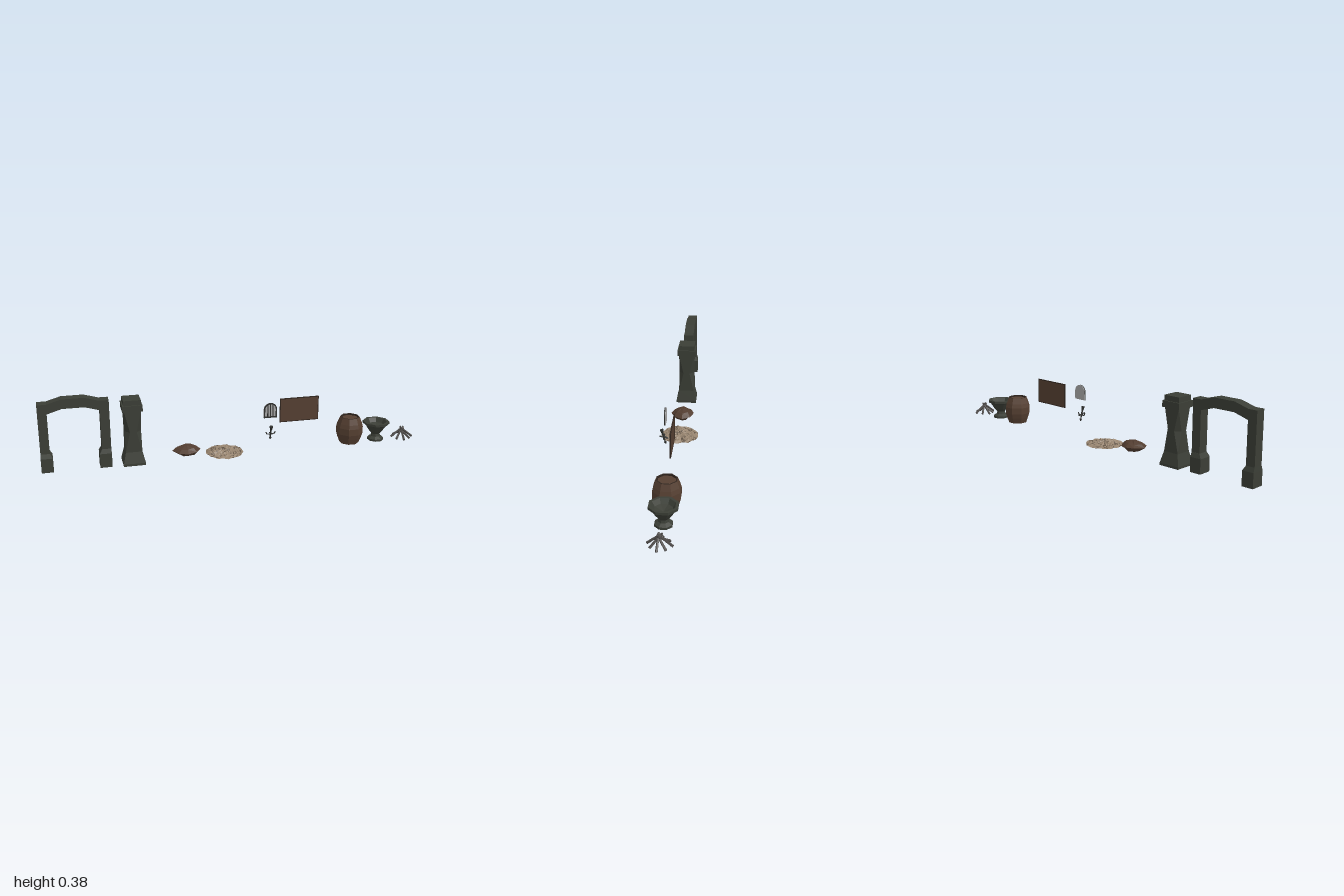
import * as THREE from 'three';

const mat = (name, color, opts = {}) => {
  const m = new THREE.MeshStandardMaterial({ color, flatShading: true, ...opts });
  m.name = name;
  return m;
};

// Small seeded random generator
function seeded(seed) {
  return () => (seed = (seed * 16807) % 2147483647) / 2147483647;
}

// Closed skin through rings of [x, y, z] points, listed bottom to top, turning from +x to +z
function loft(rings) {
  const n = rings[0].length, pos = rings.flat(2), idx = [];
  for (let i = 0; i < rings.length - 1; i++) {
    for (let k = 0; k < n; k++) {
      const a = i * n + k, b = i * n + (k + 1) % n;
      idx.push(a, a + n, b + n, a, b + n, b);
    }
  }
  const last = (rings.length - 1) * n;
  for (let k = 1; k < n - 1; k++) idx.push(0, k, k + 1, last, last + k + 1, last + k);
  const g = new THREE.BufferGeometry();
  g.setAttribute('position', new THREE.Float32BufferAttribute(pos, 3));
  g.setIndex(idx);
  g.computeVertexNormals();
  return g;
}

// Square ring of half size s with corners cut by c
const squareRing = (y, s, c) => [
  [s, y, -(s - c)], [s, y, s - c], [s - c, y, s], [-(s - c), y, s],
  [-s, y, s - c], [-s, y, -(s - c)], [-(s - c), y, -s], [s - c, y, -s],
];
const rectRing = (y, x0, x1, z) => [[x1, y, -z], [x1, y, z], [x0, y, z], [x0, y, -z]];

export function createModel() {
  const root = new THREE.Group();
  root.name = 'dungeonProps';
  const stone = mat('darkStone', 0x3b3e36);
  const iron = mat('darkIron', 0x2f302e);
  const wood = mat('brownWood', 0x553f31);
  const darkWood = mat('darkWood', 0x30251e);
  const rockMat = mat('brownRock', 0x523d30);
  const straw = mat('tanStraw', 0x988570, { side: THREE.DoubleSide });
  const strawDark = mat('darkStraw', 0x66584a, { side: THREE.DoubleSide });
  const greyWood = mat('greyWood', 0x4d4a48);
  const pane = mat('palePane', 0xa6a6a6);

  const group = (name, x = 0, y = 0, z = 0) => {
    const g = new THREE.Group();
    g.name = name;
    g.position.set(x, y, z);
    root.add(g);
    return g;
  };
  const add = (parent, name, geo, material, x = 0, y = 0, z = 0) => {
    const m = new THREE.Mesh(geo, material);
    m.name = name;
    m.position.set(x, y, z);
    parent.add(m);
    return m;
  };
  const rod = (parent, name, a, b, r0, r1, material, sides = 6) => {
    const p = new THREE.Vector3(...a), q = new THREE.Vector3(...b), d = q.clone().sub(p);
    const m = add(parent, name, new THREE.CylinderGeometry(r1, r0, d.length(), sides), material);
    m.position.copy(p).add(q).multiplyScalar(0.5);
    m.quaternion.setFromUnitVectors(new THREE.Vector3(0, 1, 0), d.normalize());
  };
  const lathe = (pts) =>
    new THREE.LatheGeometry(pts.map(([x, y]) => new THREE.Vector2(x, y)), 8, Math.PI / 8);

  // Doorway arch: one bent frame on two wider feet
  const arch = group('archway', -0.826);
  const outline = new THREE.Shape([
    [-0.174, 0.006], [-0.128, 0.006], [-0.128, 0.31], [-0.055, 0.332], [0.055, 0.332], [0.128, 0.31],
    [0.128, 0.006], [0.174, 0.006], [0.174, 0.36], [0.128, 0.36], [0.055, 0.381], [-0.055, 0.381],
    [-0.128, 0.36], [-0.174, 0.36],
  ].map(([x, y]) => new THREE.Vector2(x, y)));
  add(arch, 'archFrame', new THREE.ExtrudeGeometry(outline, { depth: 0.053, bevelEnabled: false }),
    stone, 0, 0, -0.0265);
  const foot = loft([
    rectRing(0.006, -0.175, -0.115, 0.035), rectRing(0.08, -0.175, -0.115, 0.035),
    rectRing(0.103, -0.174, -0.128, 0.027),
  ]);
  add(arch, 'archFoot', foot, stone);
  add(arch, 'archFoot', foot, stone).rotation.y = Math.PI;

  // Square pillar with corner facets and a stepped cap
  const pillar = group('pillar', -0.54);
  add(pillar, 'pillarShaft', loft([
    squareRing(0.008, 0.056, 0), squareRing(0.02, 0.056, 0), squareRing(0.078, 0.042, 0),
    squareRing(0.185, 0.042, 0.025), squareRing(0.296, 0.042, 0),
  ]), stone);
  add(pillar, 'pillarCap', new THREE.BoxGeometry(0.102, 0.032, 0.102), stone, 0, 0.311, 0);
  add(pillar, 'pillarTop', new THREE.BoxGeometry(0.088, 0.026, 0.088), stone, 0, 0.34, 0);

  // Lumpy rock
  const reach = [0.075, 0.066, 0.065, 0.066, 0.075, 0.062, 0.06, 0.06];
  const rnd = seeded(17);
  const rockRing = (y, s) => reach.map((r, k) => {
    const a = (k / 8) * Math.PI * 2, w = s * r * (s < 1 ? 0.9 + 0.2 * rnd() : 1);
    return [w * Math.cos(a), y + (rnd() - 0.5) * 0.008, w * Math.sin(a)];
  });
  add(group('rock', -0.265), 'rockBody', loft([
    rockRing(0.02, 0.4), rockRing(0.031, 0.72), rockRing(0.047, 1), rockRing(0.065, 0.7), rockRing(0.076, 0.2),
  ]), rockMat);

  // Round straw heap: a rough disc, with darker clumps
  const heap = new THREE.RingGeometry(0.0005, 0.098, 36, 9).rotateX(-Math.PI / 2);
  const hp = heap.attributes.position;
  for (let i = 0; i < hp.count; i++) {
    const x = hp.getX(i), z = hp.getZ(i), r = Math.hypot(x, z) / 0.098, a = Math.atan2(z, x);
    const wave = Math.sin(x * 190 + z * 70) * Math.sin(z * 170 - x * 50);
    const s = 1 + 0.025 * Math.sin(a * 9) * r;
    hp.setXYZ(i, x * s, 0.012 + 0.02 * (1 - r) + 0.005 * (1 + wave) + 0.002 * Math.sin(a * 14), z * s);
  }
  const heapFaces = heap.toNonIndexed(), fp = heapFaces.attributes.position;
  for (let i = 0; i < fp.count; i += 3) {
    const x = (fp.getX(i) + fp.getX(i + 1) + fp.getX(i + 2)) / 3;
    const z = (fp.getZ(i) + fp.getZ(i + 1) + fp.getZ(i + 2)) / 3;
    const clump = Math.sin(x * 230 + 2 * Math.sin(z * 120)) * Math.sin(z * 210 + 2 * Math.sin(x * 140));
    heapFaces.addGroup(i, 3, clump > 0.5 ? 1 : 0);
  }
  heapFaces.computeVertexNormals();
  add(group('strawHeap', -0.064), 'strawHeapTop', heapFaces, [straw, strawDark]);

  // Small arched window with bars in front of a pale pane
  const windowGroup = group('archedWindow', 0.169, 0.206, 0.048);
  const archPath = (Path, w, y0, y1) => {
    const p = new Path();
    p.moveTo(-w, y0);
    p.lineTo(w, y0);
    p.lineTo(w, y1);
    p.absarc(0, y1, w, 0, Math.PI, false);
    p.lineTo(-w, y0);
    return p;
  };
  const extrude = (shape, depth) =>
    new THREE.ExtrudeGeometry(shape, { depth, bevelEnabled: false, curveSegments: 8 });
  add(windowGroup, 'windowPane', extrude(archPath(THREE.Shape, 0.035, 0, 0.044), 0.003), pane);
  const frame = archPath(THREE.Shape, 0.035, 0, 0.044);
  frame.holes.push(archPath(THREE.Path, 0.029, 0.006, 0.044));
  add(windowGroup, 'windowFrame', extrude(frame, 0.006), iron, 0, 0, 0.003);
  for (const x of [-0.014, 0, 0.014]) {
    const h = 0.07 - Math.abs(x) * 0.3;
    add(windowGroup, 'windowBar', new THREE.BoxGeometry(0.005, h, 0.004), iron, x, 0.003 + h / 2, 0.005);
  }

  // Wall torch on a forked bracket
  const torch = group('wallTorch', 0.169);
  rod(torch, 'torchHandle', [0, 0.087, 0.052], [0, 0.15, 0.069], 0.003, 0.005, iron);
  rod(torch, 'torchHead', [0, 0.146, 0.068], [0, 0.164, 0.073], 0.006, 0.01, iron);
  rod(torch, 'torchFoot', [0, 0.087, 0.052], [0, 0.097, 0.055], 0.003, 0.007, iron);
  rod(torch, 'bracketBar', [-0.019, 0.118, 0.06], [0.019, 0.118, 0.06], 0.003, 0.003, iron);
  rod(torch, 'bracketBack', [0, 0.118, 0.04], [0, 0.127, 0.083], 0.004, 0.004, iron);
  for (const s of [-1, 1]) {
    rod(torch, 'bracketArm', [s * 0.018, 0.117, 0.059], [s * 0.025, 0.13, 0.062], 0.003, 0.003, iron);
  }

  // Thin wall board with a narrow dark border
  const board = group('wallBoard', 0.341, 0.221, 0.002);
  add(board, 'boardPanel', new THREE.BoxGeometry(0.206, 0.126, 0.004), wood);
  for (const s of [-1, 1]) {
    add(board, 'boardRail', new THREE.BoxGeometry(0.212, 0.004, 0.006), darkWood, 0, s * 0.063, 0);
    add(board, 'boardStile', new THREE.BoxGeometry(0.004, 0.13, 0.006), darkWood, s * 0.104, 0, 0);
  }

  // Eight-sided barrel
  const barrel = group('barrel', 0.63);
  add(barrel, 'barrelStaves', lathe([
    [0, 0.009], [0.052, 0.009], [0.064, 0.04], [0.071, 0.065], [0.071, 0.1], [0.065, 0.122], [0.052, 0.154],
  ]), wood);
  add(barrel, 'barrelRim', lathe([[0.052, 0.154], [0.045, 0.154], [0.045, 0.146]]), darkWood);
  add(barrel, 'barrelLid', lathe([[0.045, 0.146], [0, 0.146]]), wood);

  // Stone fire bowl
  add(group('fireBowl', 0.783), 'bowlBody', lathe([
    [0, 0.009], [0.044, 0.009], [0.044, 0.02], [0.026, 0.031], [0.023, 0.045], [0.036, 0.06],
    [0.06, 0.096], [0.072, 0.102], [0.072, 0.114], [0.058, 0.114], [0.044, 0.092], [0, 0.078],
  ]), stone);

  // Campfire sticks leaning together
  const fire = group('campfire', 0.937);
  for (let i = 0; i < 8; i++) {
    const a = (i / 8) * Math.PI * 2 + 0.15, r = i % 2 ? 0.052 : 0.058, t = a + 2.6;
    rod(fire, 'fireStick', [r * Math.cos(a), 0.011, r * Math.sin(a)],
      [0.012 * Math.cos(t), i % 2 ? 0.055 : 0.066, 0.012 * Math.sin(t)], 0.0065, 0.005, greyWood, 5);
  }
  return root;
}
